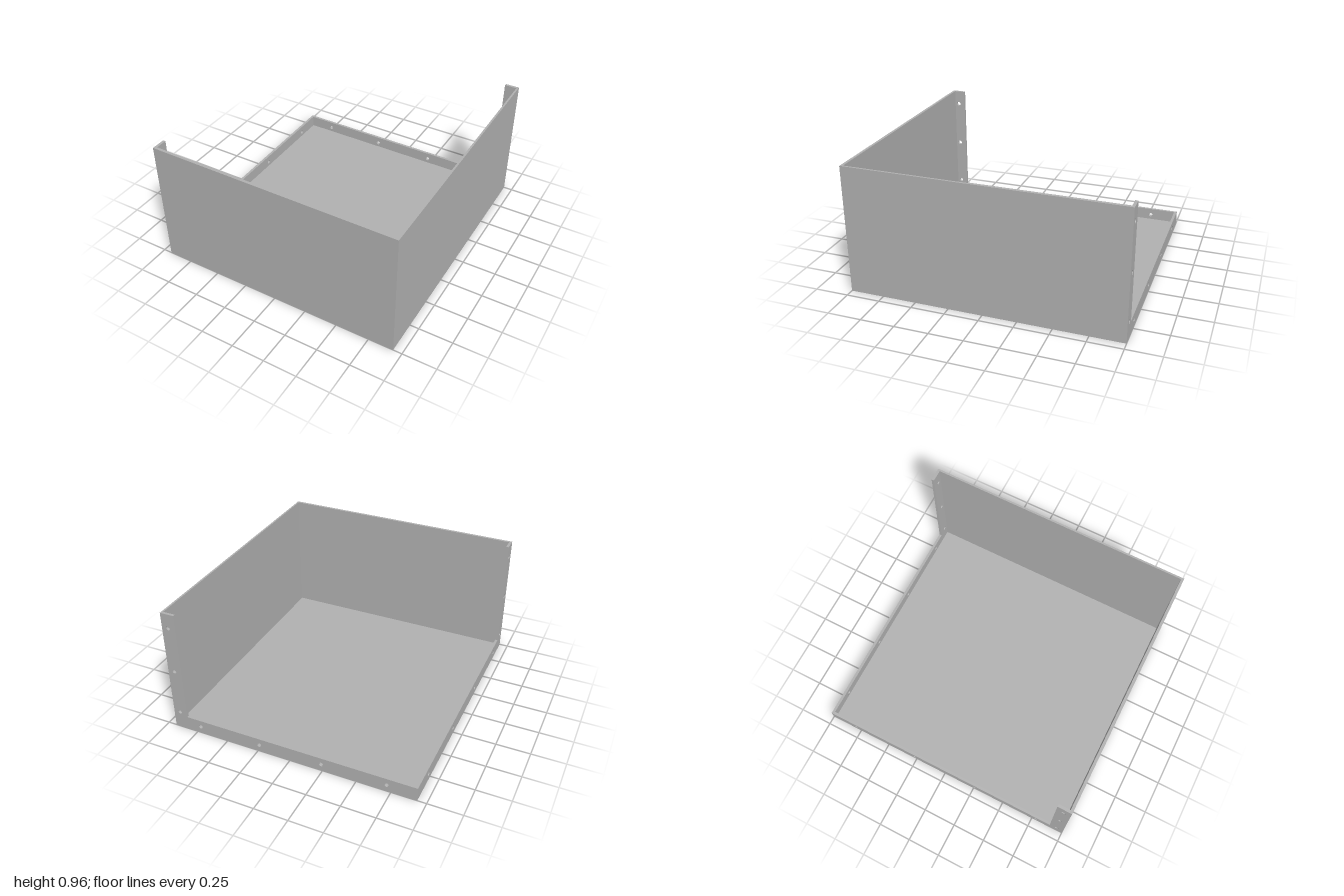
import * as THREE from 'three';

const HX = 0.935, HZ = 1, H = 0.96; // half width, half depth, height
const T = 0.02, SIDE = 0.014, FLOOR = 0.015; // sheet thicknesses
const RIM = 0.105, HOLE = 0.016; // flange width and screw hole radius

export function createModel() {
  const group = new THREE.Group();
  const grey = new THREE.MeshStandardMaterial({ color: 0xb0b0b0 });
  grey.name = 'plain grey';

  const add = (name, geometry) => {
    const mesh = new THREE.Mesh(geometry, grey);
    mesh.name = name;
    group.add(mesh);
    return mesh;
  };
  const box = (name, x0, x1, y0, y1, z0, z1) =>
    add(name, new THREE.BoxGeometry(x1 - x0, y1 - y0, z1 - z0))
      .position.set((x0 + x1) / 2, (y0 + y1) / 2, (z0 + z1) / 2);

  // Floor and the two full-height walls
  box('floor', -HX, HX, 0, FLOOR, -HZ, HZ);
  box('frontWall', -HX, HX, FLOOR, H, HZ - T, HZ);
  box('leftWall', HX - SIDE, HX, FLOOR, H, -HZ, HZ - T);

  // L-shaped flange: low rim along the floor, upright strip at its far end
  const flange = (name, start, end, post, rimHoles, postCentre) => {
    const shape = new THREE.Shape([
      [start, FLOOR], [end, FLOOR], [end, H], [post, H], [post, RIM], [start, RIM],
    ].map(([u, y]) => new THREE.Vector2(u, y)));
    const holes = [
      ...rimHoles.map((u) => [u, 0.052]),
      ...[0.135, 0.493, 0.85].map((y) => [postCentre, y]),
    ];
    for (const [u, y] of holes) {
      shape.holes.push(new THREE.Path().absarc(u, y, HOLE, 0, Math.PI * 2, true));
    }
    return add(name, new THREE.ExtrudeGeometry(shape, {
      depth: T, bevelEnabled: false, curveSegments: 10,
    }));
  };

  const back = flange('backFlange', -HX, HX - SIDE, HX - RIM,
    [-0.72, -0.24, 0.24, 0.72], HX - 0.05);
  back.position.z = -HZ;

  const right = flange('rightFlange', -HZ + T, HZ - T, HZ - RIM,
    [-0.785, -0.262, 0.262, 0.785], HZ - 0.05);
  right.rotation.y = -Math.PI / 2;
  right.position.x = -HX + T;

  return group;
}
